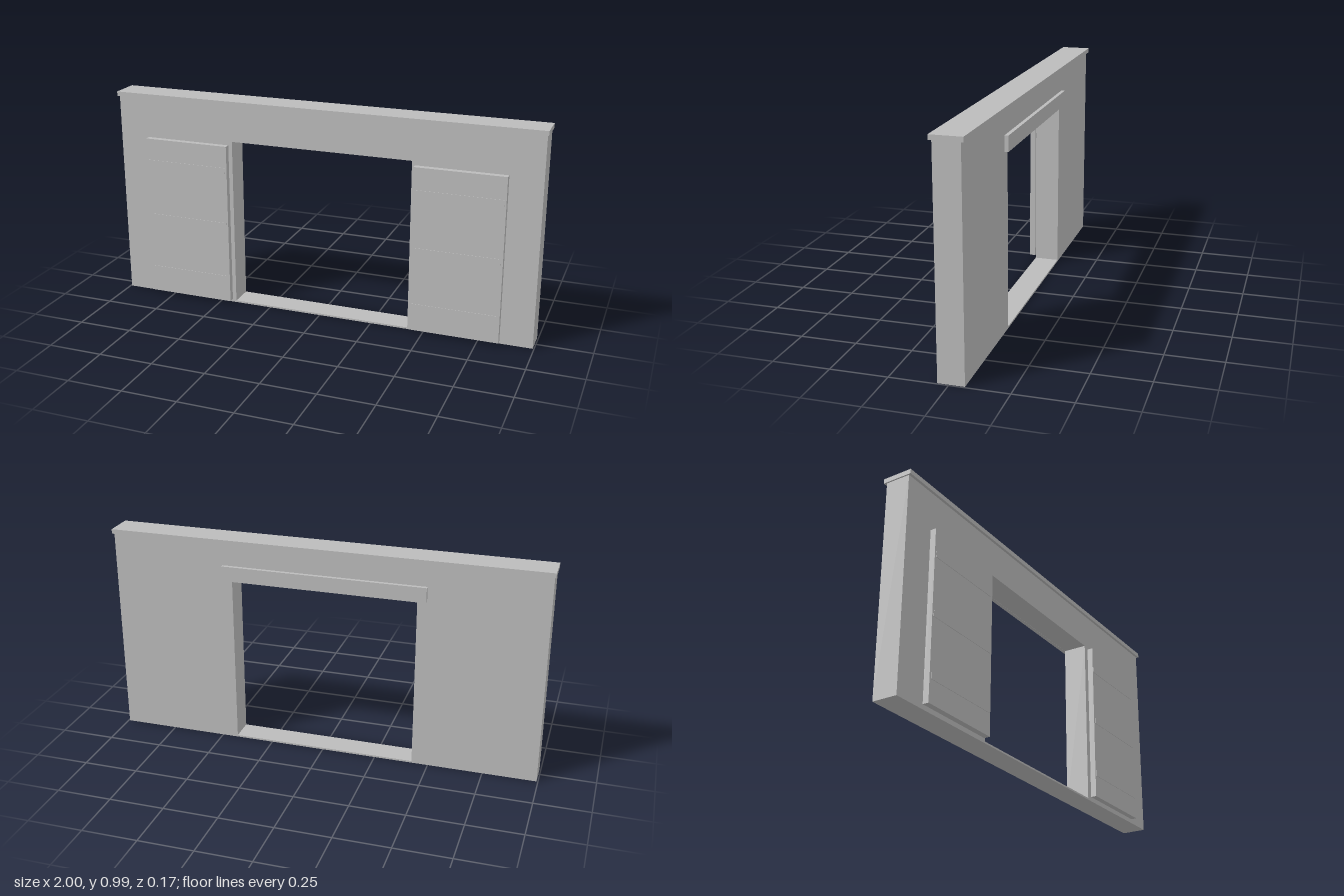
import * as THREE from 'three';

export function createModel() {
  const model = new THREE.Group();
  model.name = 'shutteredWall';
  const plaster = new THREE.MeshStandardMaterial({ color: 0xbcbcbc });
  plaster.name = 'light grey';

  // Box given by its lower and upper corners
  function box(name, [x0, y0, z0], [x1, y1, z1], parent = model) {
    const geometry = new THREE.BoxGeometry(x1 - x0, y1 - y0, z1 - z0);
    const mesh = new THREE.Mesh(geometry, plaster);
    mesh.position.set((x0 + x1) / 2, (y0 + y1) / 2, (z0 + z1) / 2);
    mesh.name = name;
    parent.add(mesh);
  }

  const rectangle = (Type, x, y0, y1) => new Type([
    new THREE.Vector2(-x, y0), new THREE.Vector2(x, y0),
    new THREE.Vector2(x, y1), new THREE.Vector2(-x, y1),
  ]);

  // Wall with a window opening and a low threshold
  const outline = rectangle(THREE.Shape, 0.994, 0, 0.966);
  outline.holes.push(rectangle(THREE.Path, 0.425, 0.008, 0.797));
  const wall = new THREE.Mesh(
    new THREE.ExtrudeGeometry(outline, { depth: 0.113, bevelEnabled: false }), plaster);
  wall.position.z = -0.065;
  wall.name = 'wall';
  model.add(wall);

  // Coping along the top and lintel board on the back
  box('coping', [-1, 0.966, -0.077], [1, 0.987, 0.06]);
  box('lintel', [-0.468, 0.796, -0.082], [0.468, 0.865, -0.065]);

  // Open shutters, each with three straps standing just proud of both faces
  for (const side of [-1, 1]) {
    const shutter = new THREE.Group();
    shutter.name = side > 0 ? 'leftShutter' : 'rightShutter';
    shutter.position.x = side * 0.644;
    box('shutterPanel', [-0.204, 0.016, 0.055], [0.204, 0.781, 0.082], shutter);
    for (const y of [0.131, 0.398, 0.665]) {
      box('strap', [-0.195, y - 0.014, 0.052], [0.195, y + 0.014, 0.084], shutter);
    }
    model.add(shutter);
  }
  return model;
}
